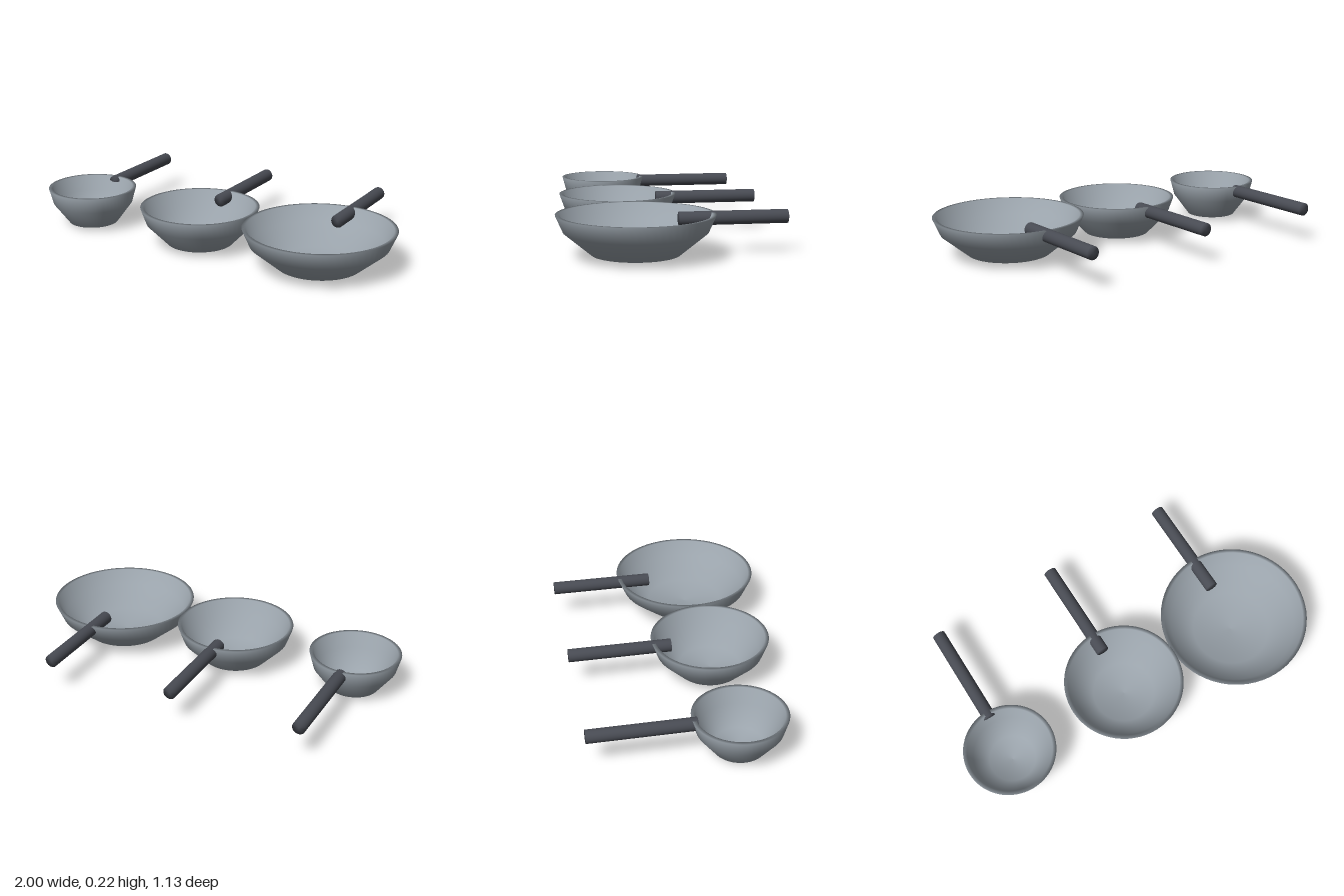
import * as THREE from 'three';

const metal = new THREE.MeshStandardMaterial({ color: 0x9aa3ab });
metal.name = 'steel grey';
const grip = new THREE.MeshStandardMaterial({ color: 0x484b53 });
grip.name = 'dark grip';

// Solid of revolution with smooth normals from [radius, height] pairs
function lathe(points, segments) {
  return new THREE.LatheGeometry(points.map(([r, y]) => new THREE.Vector2(r, y)), segments);
}

// Thin-walled pan: outside from the base up, over the flat rim, then down the inside
function bowlGeometry(r) {
  return lathe([
    [0, 0], [0.56 * r, 0.017], [0.905 * r, 0.127], [r, 0.21],
    [r - 0.02, 0.21], [0.905 * r - 0.02, 0.13], [0.56 * r - 0.012, 0.034], [0, 0.018],
  ], 64);
}

// Round bar running backwards from inside the rim
function handleGeometry() {
  const r = 0.034, length = 0.538;
  const geometry = lathe([[0, 0], [r, 0], [r, length], [0, length]], 32);
  geometry.rotateX(-Math.PI / 2);
  return geometry;
}

export function createModel() {
  const group = new THREE.Group();
  group.name = 'panSet';
  const handleShape = handleGeometry();

  // Three pans in a row, sharing one handle shape and depth
  const pans = [['small', -0.763, 0.237], ['medium', -0.078, 0.31], ['large', 0.61, 0.386]];
  for (const [size, x, radius] of pans) {
    const pan = new THREE.Group();
    pan.name = size + 'Pan';
    pan.position.x = x;

    const bowl = new THREE.Mesh(bowlGeometry(radius), metal);
    bowl.name = size + 'Bowl';
    bowl.position.z = 0.178;

    const handle = new THREE.Mesh(handleShape, grip);
    handle.name = size + 'Handle';
    handle.position.set(0, 0.181, -0.03);

    pan.add(bowl, handle);
    group.add(pan);
  }
  return group;
}
